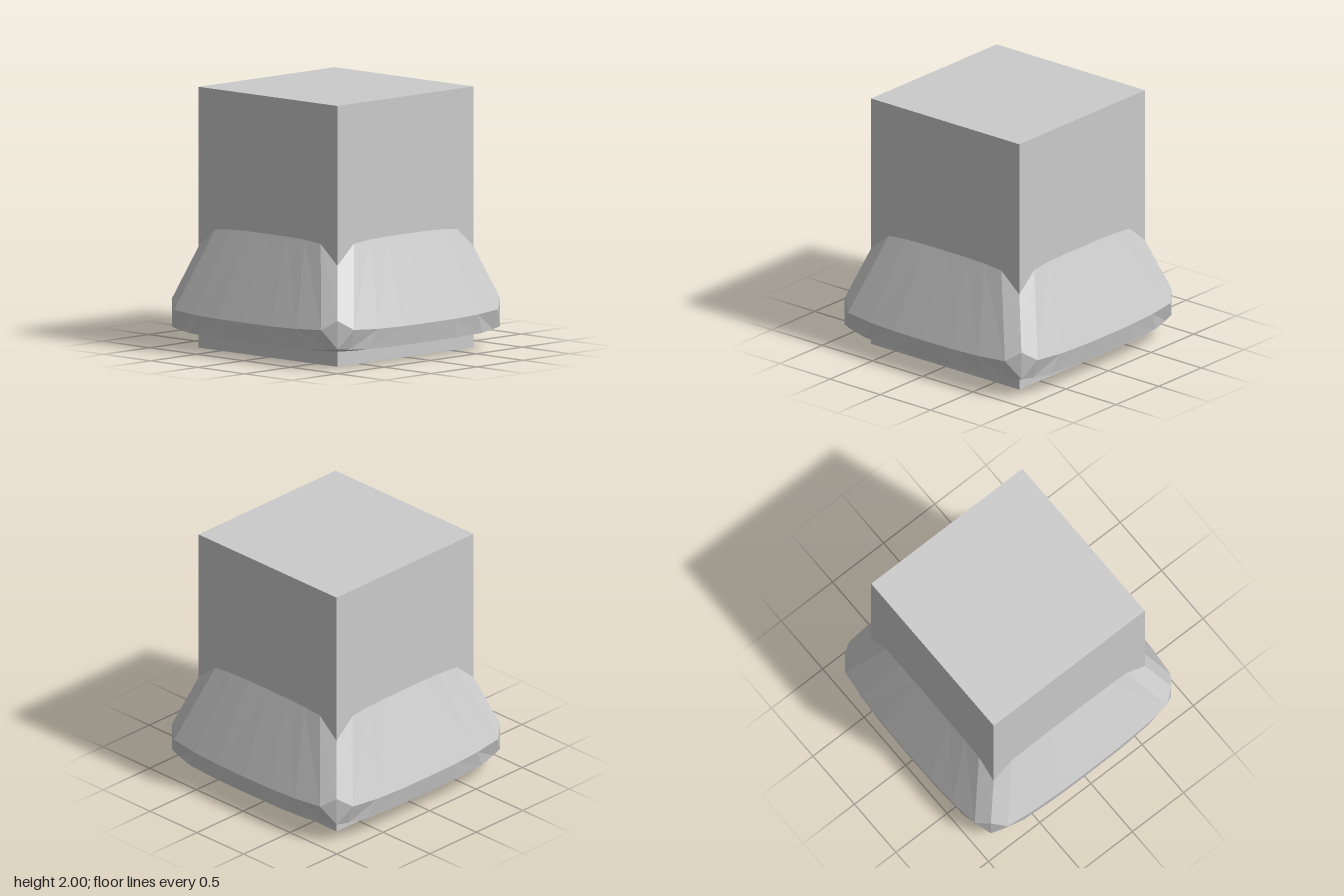
import * as THREE from 'three';

// Half of one side of the collar, from its middle to the corner, as [x, y, z].
// Rings run from the top seam down to the underside.
const rings = [
  [[0, 0.945, 0.738], [0.2, 0.945, 0.738], [0.39, 0.94, 0.738], [0.56, 0.925, 0.738], [0.738, 0.775, 0.738]],
  [[0, 0.29, 0.993], [0.28, 0.29, 0.99], [0.54, 0.295, 0.98], [0.78, 0.308, 0.957], [0.88, 0.38, 0.88]],
  [[0, 0.14, 0.965], [0.33, 0.14, 0.962], [0.62, 0.142, 0.945], [0.78, 0.152, 0.908], [0.88, 0.162, 0.88]],
  [[0, 0.124, 0.84], [0.3, 0.124, 0.84], [0.55, 0.124, 0.835], [0.7, 0.126, 0.825], [0.81, 0.13, 0.81]],
  [[0, 0.12, 0.73], [0.25, 0.12, 0.73], [0.47, 0.12, 0.73], [0.6, 0.12, 0.73], [0.73, 0.125, 0.73]],
];

function collarGeometry() {
  const pos = [];
  // Four sides, each made of two mirrored halves
  for (let side = 0; side < 4; side++) {
    for (const mirror of [1, -1]) {
      const put = ([x, y, z]) => {
        const v = new THREE.Vector3(x * mirror, y, z);
        v.applyAxisAngle(new THREE.Vector3(0, 1, 0), side * Math.PI / 2);
        pos.push(v.x, v.y, v.z);
      };
      const tri = (a, b, c) => (mirror > 0 ? [a, b, c] : [a, c, b]).forEach(put);
      for (let r = 0; r < rings.length - 1; r++) {
        for (let i = 0; i < 4; i++) {
          const a = rings[r][i], b = rings[r][i + 1];
          const d = rings[r + 1][i], c = rings[r + 1][i + 1];
          tri(a, d, c);
          tri(a, c, b);
        }
      }
    }
  }
  const g = new THREE.BufferGeometry();
  g.setAttribute('position', new THREE.Float32BufferAttribute(pos, 3));
  g.computeVertexNormals();
  return g;
}

export function createModel() {
  const group = new THREE.Group();
  const material = new THREE.MeshStandardMaterial({ color: 0xcccccc, flatShading: true });

  // Square post running the full height
  const post = new THREE.Mesh(new THREE.BoxGeometry(1.476, 2, 1.476), material);
  post.name = 'post';
  post.position.y = 1;

  // Flared collar around the foot
  const collar = new THREE.Mesh(collarGeometry(), material);
  collar.name = 'collar';

  group.add(post, collar);
  return group;
}
